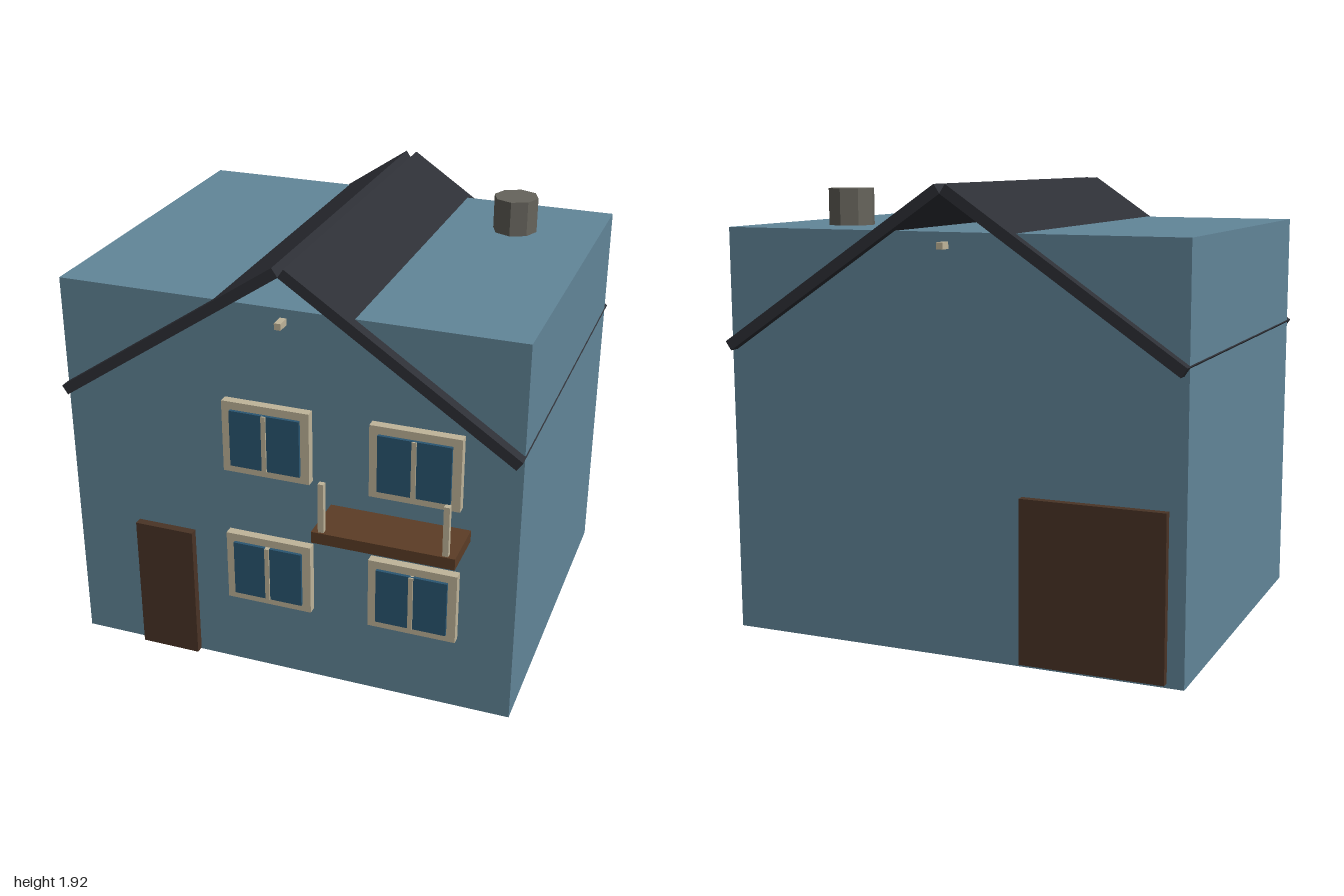
import * as THREE from 'three';

const paint = (color) => new THREE.MeshStandardMaterial({ color, flatShading: true });

export function createModel() {
  const house = new THREE.Group();
  house.name = 'house';

  const wall = paint(0x628699);
  const slate = paint(0x2e3036);
  const doorWood = paint(0x4a3426);
  const deckWood = paint(0x5c3d26);
  const trim = paint(0xc0b59a);
  const glass = paint(0x2a5672);
  const stone = paint(0x66645c);

  // Box given by its extents along each axis
  function block(name, material, [x0, x1], [y0, y1], [z0, z1], parent = house) {
    const mesh = new THREE.Mesh(new THREE.BoxGeometry(x1 - x0, y1 - y0, z1 - z0), material);
    mesh.position.set((x0 + x1) / 2, (y0 + y1) / 2, (z0 + z1) / 2);
    mesh.name = name;
    parent.add(mesh);
    return mesh;
  }

  // Walls: main storeys and attic
  block('mainWalls', wall, [-1, 1], [0, 1.46], [-0.91, 0.69]);
  block('atticWalls', wall, [-1, 1], [1.46, 1.73], [-0.91, 0.69]);

  // Two sloping roof slabs meeting at the ridge
  const pitch = THREE.MathUtils.degToRad(34);
  for (const side of [-1, 1]) {
    const slab = new THREE.Mesh(new THREE.BoxGeometry(1.182, 0.045, 1.697), slate);
    slab.position.set(side * 0.502, 1.567, -0.108);
    slab.rotation.z = -side * pitch;
    slab.name = side > 0 ? 'roofLeft' : 'roofRight';
    house.add(slab);
  }

  // Beam under the ridge, its ends showing at both gables
  block('ridgeBeam', trim, [-0.014, 0.014], [1.664, 1.692], [-0.962, 0.752]);

  // Octagonal chimney
  const chimney = new THREE.Mesh(new THREE.CylinderGeometry(0.1, 0.1, 0.2, 8), stone);
  chimney.position.set(0.625, 1.786, -0.54);
  chimney.name = 'chimney';
  house.add(chimney);

  // Doors
  block('frontDoor', doorWood, [-0.705, -0.435], [0.005, 0.63], [0.688, 0.727]);
  block('backDoor', doorWood, [-0.93, -0.325], [0.02, 0.7], [-0.945, -0.912]);

  // Four windows: frame, raised glass and centre bar
  for (const x of [-0.072, 0.57]) {
    for (const y of [0.517, 1.146]) {
      const unit = new THREE.Group();
      unit.name = 'window';
      unit.position.set(x, y, 0);
      block('windowFrame', trim, [-0.192, 0.192], [-0.162, 0.162], [0.695, 0.735], unit);
      block('windowGlass', glass, [-0.154, 0.154], [-0.127, 0.127], [0.73, 0.749], unit);
      block('windowBar', trim, [-0.01, 0.01], [-0.127, 0.127], [0.735, 0.756], unit);
      house.add(unit);
    }
  }

  // Balcony with two corner posts
  block('balconyFloor', deckWood, [0.215, 0.81], [0.862, 0.912], [0.735, 0.963]);
  for (const x of [0.254, 0.768]) {
    block('balconyPost', trim, [x - 0.012, x + 0.012], [0.912, 1.13], [0.932, 0.956]);
  }

  return house;
}
